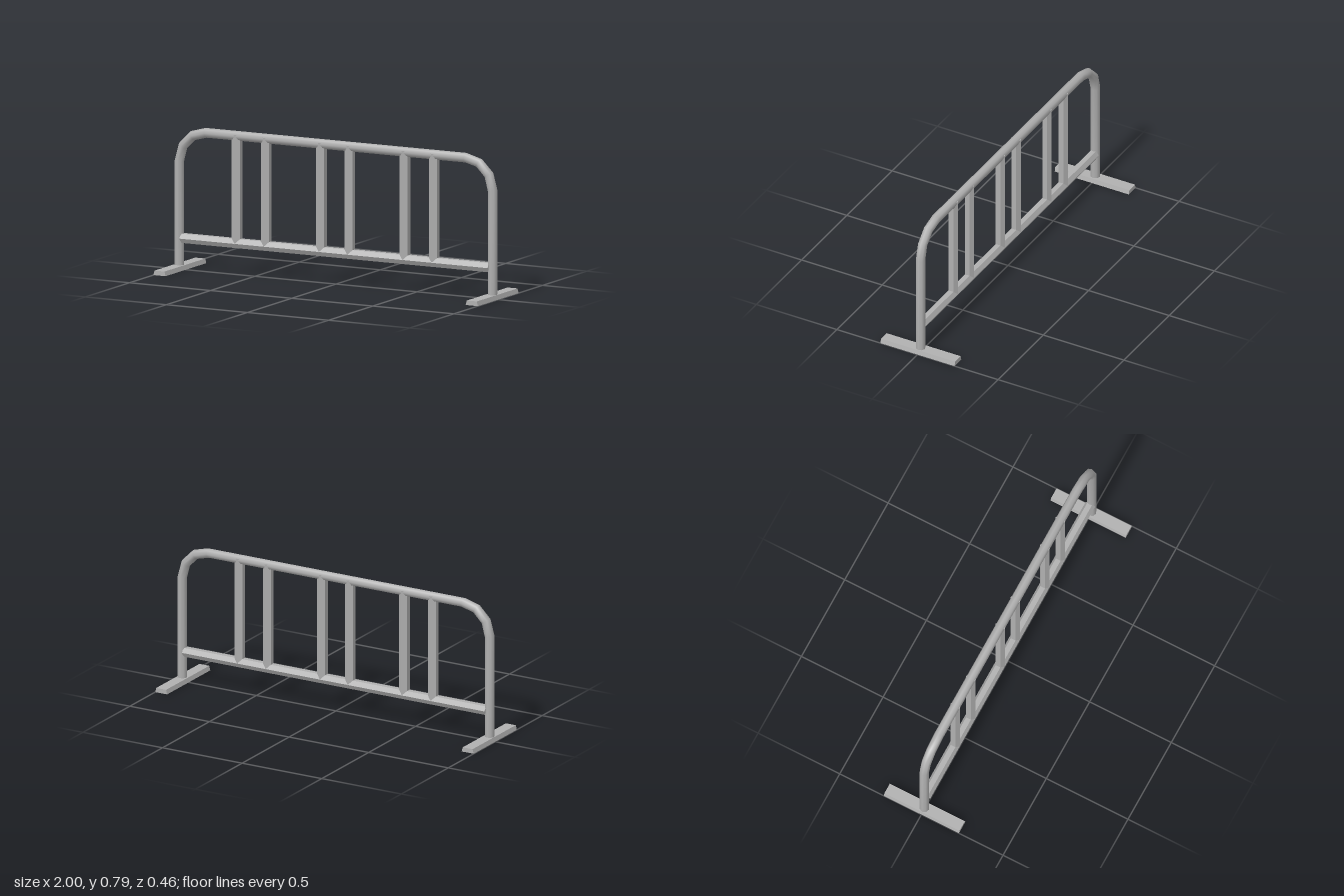
import * as THREE from 'three';

// Curve that passes through given points, one ring per point
class PolyPath extends THREE.Curve {
  constructor(points) {
    super();
    this.points = points;
  }
  index(t) {
    return Math.round(t * (this.points.length - 1));
  }
  getPointAt(t, target = new THREE.Vector3()) {
    return target.copy(this.points[this.index(t)]);
  }
  getTangentAt(t, target = new THREE.Vector3()) {
    const p = this.points, i = this.index(t);
    target.set(0, 0, 0);
    if (i > 0) target.add(p[i].clone().sub(p[i - 1]).normalize());
    if (i < p.length - 1) target.add(p[i + 1].clone().sub(p[i]).normalize());
    return target.normalize();
  }
}

export function createModel() {
  const group = new THREE.Group();
  const steel = new THREE.MeshStandardMaterial({ color: 0xb0b0b0 });
  steel.name = 'galvanised steel';
  const flatSteel = steel.clone();
  flatSteel.flatShading = true;

  const add = (name, geometry, material, x = 0, y = 0, z = 0) => {
    const mesh = new THREE.Mesh(geometry, material);
    mesh.name = name;
    mesh.position.set(x, y, z);
    group.add(mesh);
    return mesh;
  };

  // Bent outer tube: post, three-segment corner, top rail, mirrored
  const bend = 0.165, cornerX = 0.8, cornerY = 0.598;
  const half = [new THREE.Vector3(-0.965, 0.015, 0)];
  for (let i = 0; i <= 3; i++) {
    const a = (i / 3) * Math.PI / 2;
    half.push(new THREE.Vector3(-cornerX - bend * Math.cos(a), cornerY + bend * Math.sin(a), 0));
  }
  const mirrored = half.map(p => new THREE.Vector3(-p.x, p.y, 0)).reverse();
  const path = new PolyPath([...half, ...mirrored]);
  add('outerFrame', new THREE.TubeGeometry(path, path.points.length - 1, 0.027, 8), steel);

  // Six upright hexagonal bars in three pairs, an edge facing the front
  const barGeometry = new THREE.CylinderGeometry(0.029, 0.029, 0.6, 6);
  [-0.61, -0.43, -0.09, 0.085, 0.425, 0.605].forEach((x, i) =>
    add('uprightBar' + (i + 1), barGeometry, flatSteel, x, 0.471, 0));

  // Lower hexagonal rail between the posts
  const rail = add('lowerRail', new THREE.CylinderGeometry(0.029, 0.029, 1.9, 6), flatSteel, 0, 0.173, 0);
  rail.rotation.z = Math.PI / 2;

  // Feet: flat bars with sloping long sides
  const section = new THREE.Shape([
    new THREE.Vector2(-0.0375, 0), new THREE.Vector2(0.0375, 0),
    new THREE.Vector2(0.031, 0.025), new THREE.Vector2(-0.031, 0.025),
  ]);
  const footGeometry = new THREE.ExtrudeGeometry(section, { depth: 0.46, bevelEnabled: false });
  footGeometry.translate(0, 0, -0.23);
  add('leftFoot', footGeometry, flatSteel, 0.9625);
  add('rightFoot', footGeometry, flatSteel, -0.9625);

  return group;
}
